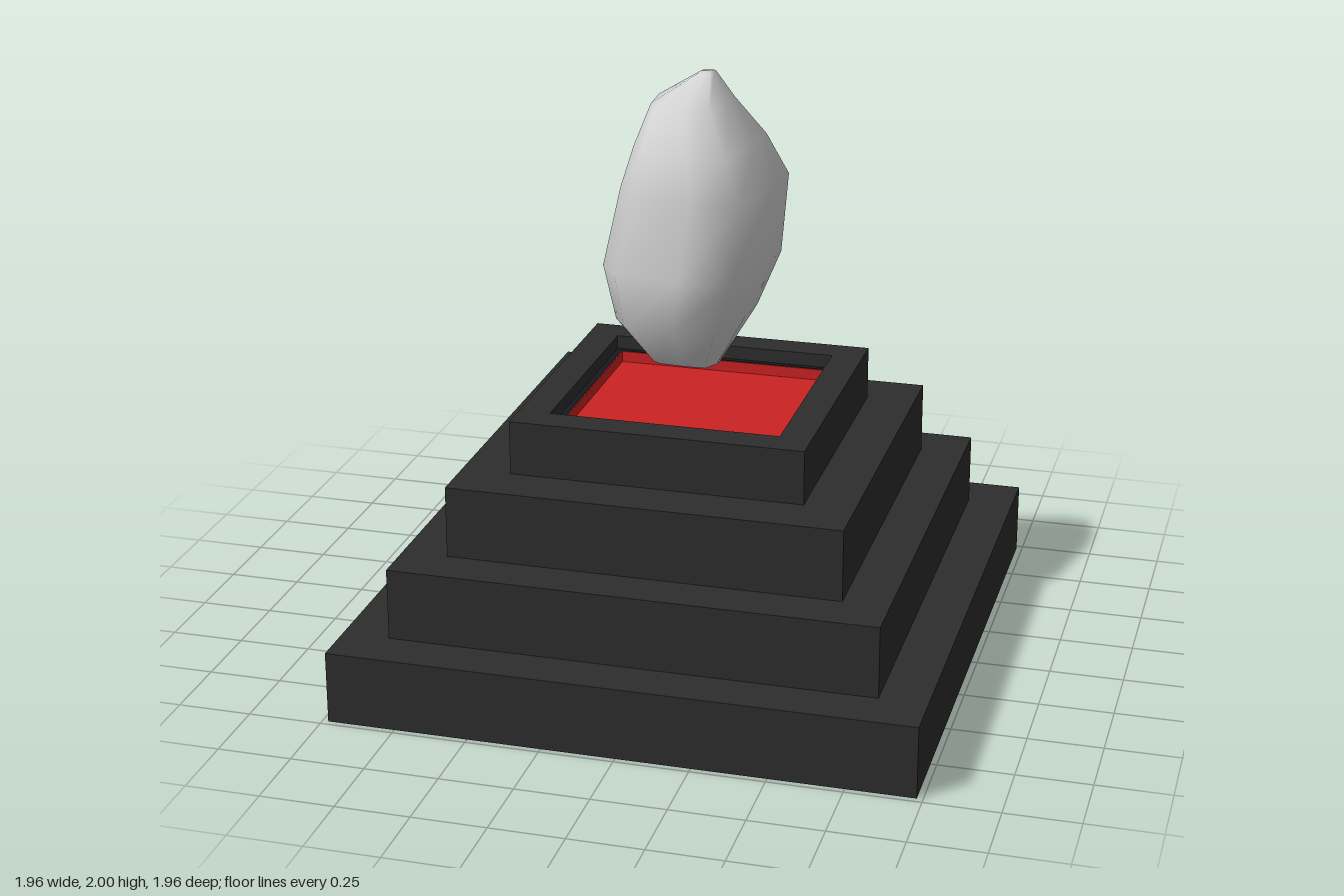
import * as THREE from 'three';

const mat = (name, color) => {
  const m = new THREE.MeshStandardMaterial({ color });
  m.name = name;
  return m;
};

export function createModel() {
  const group = new THREE.Group();
  const slate = mat('charcoal', 0x2d2d2d);
  const trim = mat('dark trim', 0x16191d);
  const red = mat('red', 0xcc2222);
  const stone = mat('pale stone', 0xd2d2d2);

  const add = (name, geometry, material) => {
    const mesh = new THREE.Mesh(geometry, material);
    mesh.name = name;
    group.add(mesh);
    return mesh;
  };

  // Square slab between two heights
  const slab = (name, half, y0, y1, material) => {
    add(name, new THREE.BoxGeometry(half * 2, y1 - y0, half * 2), material).position.y = (y0 + y1) / 2;
  };

  // Square frame between two heights, open in the middle
  const square = (path, h) => path.moveTo(-h, -h).lineTo(h, -h).lineTo(h, h).lineTo(-h, h).closePath();
  const frame = (name, outer, inner, y0, y1, material) => {
    const shape = square(new THREE.Shape(), outer);
    shape.holes.push(square(new THREE.Path(), inner));
    const geometry = new THREE.ExtrudeGeometry(shape, { depth: y1 - y0, bevelEnabled: false });
    geometry.rotateX(-Math.PI / 2);
    add(name, geometry, material).position.y = y0;
  };

  // Stepped pedestal
  slab('bottomStep', 0.98, 0, 0.247, slate);
  slab('secondStep', 0.82, 0.247, 0.492, slate);
  slab('thirdStep', 0.665, 0.492, 0.737, slate);
  frame('topStep', 0.497, 0.39, 0.737, 0.922, slate);

  // Sunken red tray with a dark ledge
  frame('trayLedge', 0.39, 0.37, 0.737, 0.875, trim);
  frame('trayLining', 0.37, 0.366, 0.737, 0.873, red);
  slab('trayFloor', 0.366, 0.737, 0.835, red);

  // Floating rock: one irregular outline fitted to each level
  const outline = [
    [-1, -0.37], [-0.75, -0.77], [0, -0.93], [0.57, -1], [1, -0.6],
    [0.96, 0], [0.72, 0.95], [0.1, 1], [-0.72, 0.87], [-0.95, 0.55],
  ];
  // y, min x, max x, min z, max z
  const levels = [
    [1.015, -0.13, 0.09, -0.01, 0.09],
    [1.19, -0.24, 0.19, -0.2, 0.26],
    [1.37, -0.29, 0.26, -0.255, 0.26],
    [1.64, -0.23, 0.28, -0.27, 0.25],
    [1.78, -0.185, 0.21, -0.225, 0.22],
    [1.91, -0.14, 0.11, -0.15, 0.115],
    [1.995, 0.0, 0.05, -0.1, -0.03],
  ];
  const n = outline.length;
  const points = [];
  const index = [];
  levels.forEach(([y, x0, x1, z0, z1], k) => {
    for (const [u, v] of outline) {
      points.push((x0 + x1) / 2 + (u * (x1 - x0)) / 2, y, (z0 + z1) / 2 + (v * (z1 - z0)) / 2);
    }
    if (k === 0) return;
    for (let i = 0; i < n; i++) {
      const j = (i + 1) % n;
      const a = (k - 1) * n + i, b = (k - 1) * n + j, c = k * n + i, d = k * n + j;
      index.push(a, b, c, b, d, c);
    }
  });
  // Close both ends
  const low = points.length / 3;
  points.push(-0.02, 1.012, 0.03, 0.03, 2, -0.06);
  const top = (levels.length - 1) * n;
  for (let i = 0; i < n; i++) {
    const j = (i + 1) % n;
    index.push(low, j, i, low + 1, top + i, top + j);
  }
  // Outline order runs clockwise from above, so reverse the faces outward
  for (let i = 0; i < index.length; i += 3) {
    [index[i + 1], index[i + 2]] = [index[i + 2], index[i + 1]];
  }
  const rock = new THREE.BufferGeometry();
  rock.setAttribute('position', new THREE.Float32BufferAttribute(points, 3));
  rock.setIndex(index);
  rock.computeVertexNormals();
  add('floatingRock', rock, stone);

  return group;
}
